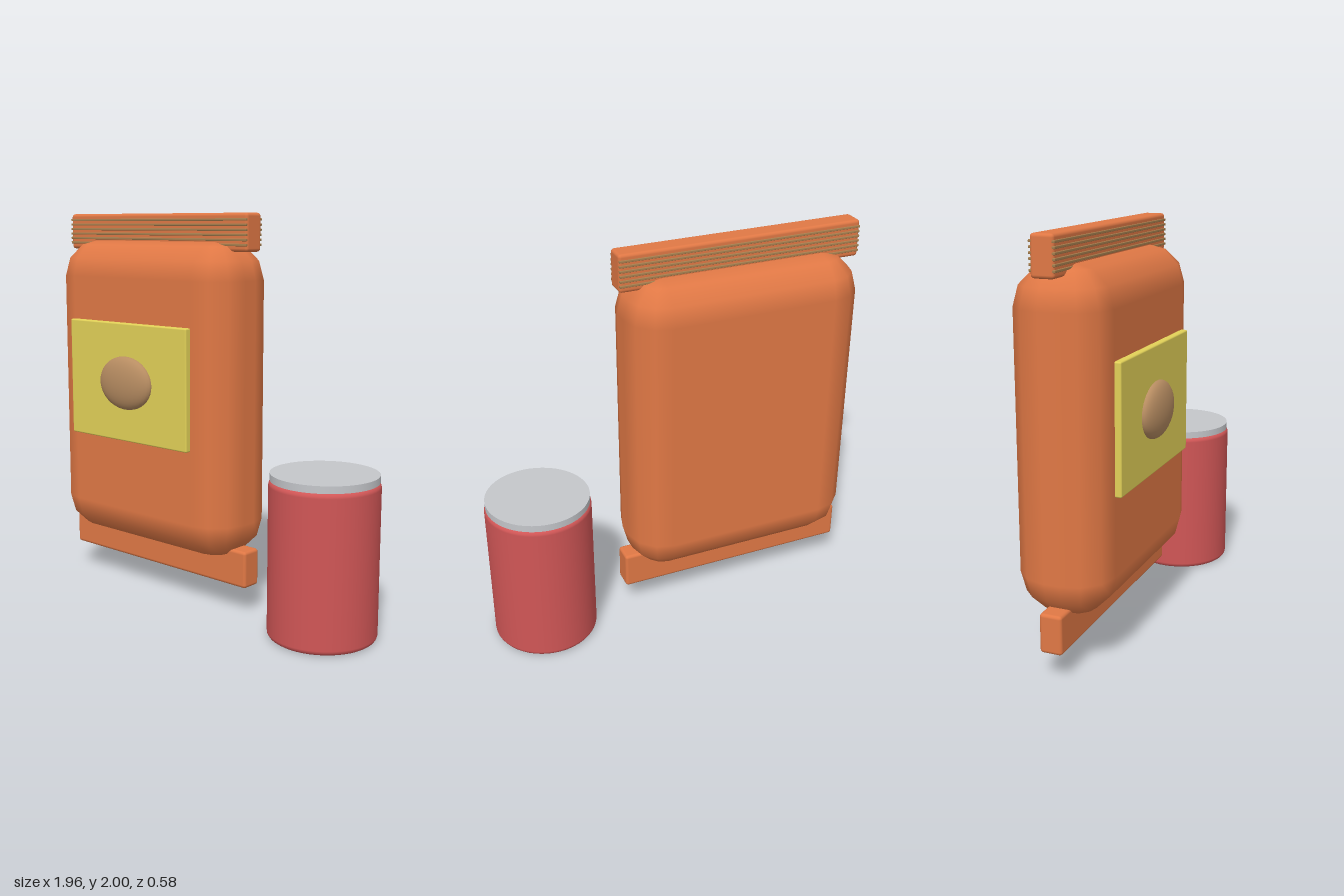
import * as THREE from 'three';
import { RoundedBoxGeometry } from 'three/addons/geometries/RoundedBoxGeometry.js';

const mat = (color) => new THREE.MeshStandardMaterial({ color });

function add(group, name, geometry, material, x, y, z) {
  const mesh = new THREE.Mesh(geometry, material);
  mesh.name = name;
  mesh.position.set(x, y, z);
  group.add(mesh);
  return mesh;
}

// Box with ball-shaped corners: a coarse sphere whose eight octants are pulled apart
function pillow(w, h, d, r, seg) {
  const cols = 4 * (seg + 1), rows = 2 * (seg + 1) + 1;
  const pos = [], nor = [], index = [];
  for (let j = 0; j <= rows; j++) {
    const cap = j === 0 || j === rows;
    const upper = j <= seg + 1;
    const k = THREE.MathUtils.clamp(upper ? j - 1 : j - 2, 0, 2 * seg);
    const polar = (k / seg) * Math.PI / 2;
    for (let i = 0; i <= cols; i++) {
      const q = Math.floor(i / (seg + 1)) % 4;
      const a = (q + (i % (seg + 1)) / seg) * Math.PI / 2;
      const nx = Math.sin(polar) * Math.cos(a);
      const ny = Math.cos(polar);
      const nz = Math.sin(polar) * Math.sin(a);
      const sx = q === 0 || q === 3 ? 1 : -1, sz = q < 2 ? 1 : -1;
      pos.push(
        cap ? 0 : sx * (w / 2 - r) + r * nx,
        (upper ? 1 : -1) * (h / 2 - r) + r * ny,
        cap ? 0 : sz * (d / 2 - r) + r * nz);
      nor.push(nx, ny, nz);
      if (i < cols && j < rows) {
        const p = j * (cols + 1) + i, n = p + cols + 1;
        index.push(p, p + 1, n, n, p + 1, n + 1);
      }
    }
  }
  const g = new THREE.BufferGeometry();
  g.setAttribute('position', new THREE.Float32BufferAttribute(pos, 3));
  g.setAttribute('normal', new THREE.Float32BufferAttribute(nor, 3));
  g.setIndex(index);
  return g;
}

// Closed can profile with small rounded rims
function canGeometry(radius, height, bevel) {
  const pts = [new THREE.Vector2(0, 0)];
  for (const [cy, start] of [[bevel, -Math.PI / 2], [height - bevel, 0]]) {
    for (let i = 0; i <= 4; i++) {
      const a = start + (i / 4) * Math.PI / 2;
      pts.push(new THREE.Vector2(radius - bevel + bevel * Math.cos(a), cy + bevel * Math.sin(a)));
    }
  }
  pts.push(new THREE.Vector2(0, height));
  return new THREE.LatheGeometry(pts, 48);
}

export function createModel() {
  const model = new THREE.Group();
  model.name = 'bagAndCan';
  const orange = mat(0xe07845), yellow = mat(0xe2d158), tan = mat(0xb88d62);
  const ridgeTan = mat(0xa8804f), red = mat(0xd05656), metal = mat(0xc4c6ca);
  const bx = -0.353, bz = -0.023;

  // Bag with sealed strips at both ends
  const bag = new THREE.Group();
  bag.name = 'bag';
  model.add(bag);
  add(bag, 'bagBody', pillow(1.215, 1.59, 0.455, 0.19, 3), orange, bx, 1.07, bz);
  add(bag, 'topSeal', new RoundedBoxGeometry(1.255, 0.185, 0.11, 2, 0.016), orange, bx, 1.9075, bz);
  add(bag, 'bottomSeal', new RoundedBoxGeometry(1.255, 0.19, 0.11, 2, 0.016), orange, bx, 0.235, bz);

  // Crimp ridges across the top seal
  for (let i = 0; i < 6; i++) {
    add(bag, 'crimpRidge', new RoundedBoxGeometry(1.25, 0.012, 0.122, 1, 0.003), ridgeTan,
      bx, 1.848 + i * 0.024, bz);
  }

  // Front label with an oval emblem
  add(bag, 'label', new RoundedBoxGeometry(0.835, 0.61, 0.04, 2, 0.008), yellow, bx, 1.147, 0.215);
  add(bag, 'emblem', new THREE.SphereGeometry(1, 32, 20), tan, bx, 1.147, 0.235)
    .scale.set(0.183, 0.137, 0.055);

  // Can with a flat lid
  const can = new THREE.Group();
  can.name = 'can';
  model.add(can);
  add(can, 'canBody', canGeometry(0.265, 0.767, 0.025), red, 0.711, 0, -0.025);
  add(can, 'canLid', new THREE.CylinderGeometry(0.259, 0.259, 0.035, 48), metal, 0.711, 0.783, -0.025);
  return model;
}
